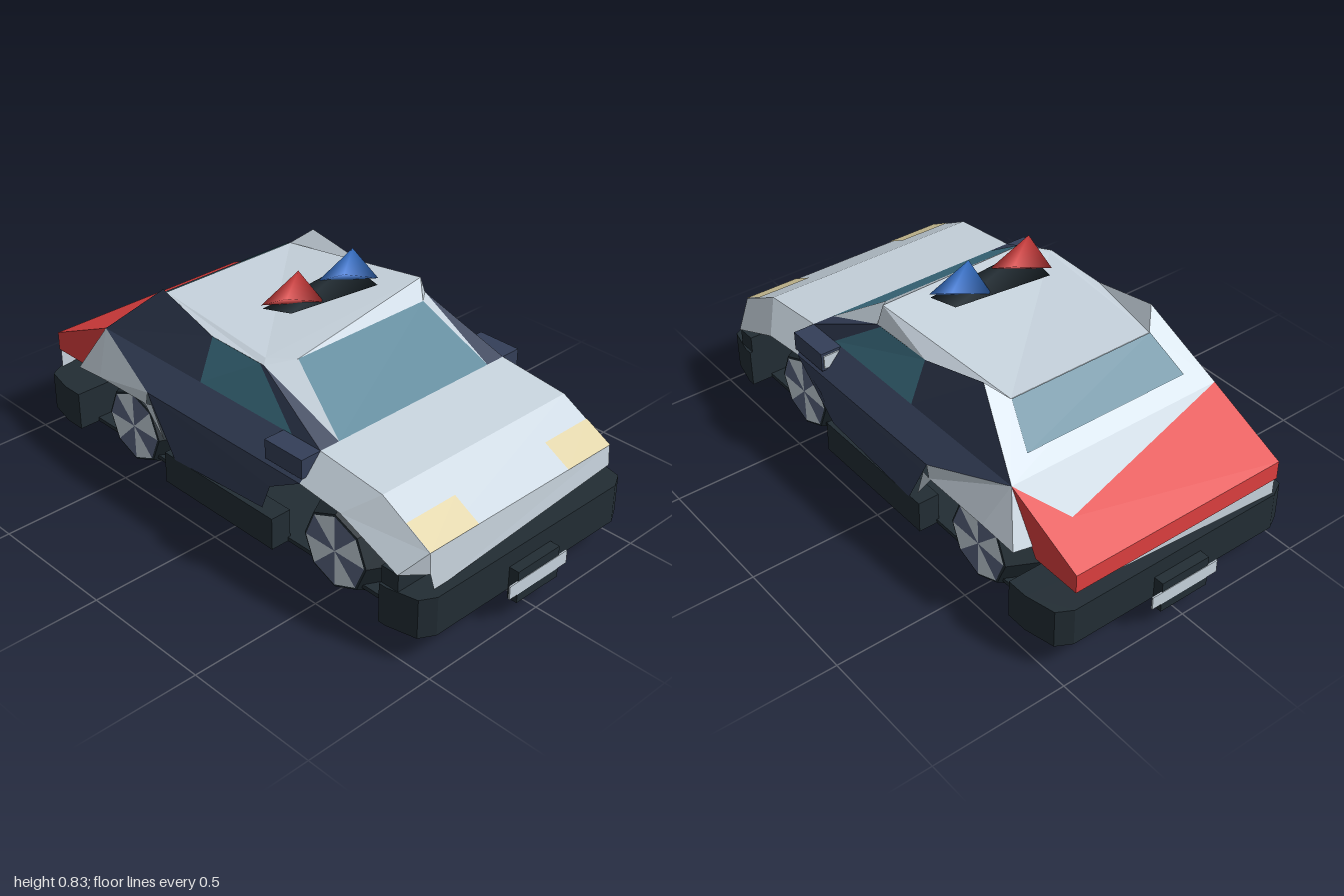
import * as THREE from 'three';

const mat = (name, color, side = THREE.FrontSide) => {
  const m = new THREE.MeshStandardMaterial({ color, side });
  m.name = name;
  return m;
};

export function createModel() {
  const D = THREE.DoubleSide;
  const light = mat('pale grey paint', 0xc8d4de, D);
  const navy = mat('navy paint', 0x343f58, D);
  const dark = mat('charcoal', 0x222d34, D);
  const teal = mat('teal glass', 0x42798e, D);
  const red = mat('red', 0xe04040, D);
  const blue = mat('blue', 0x3b7ddd);
  const tan = mat('lamp tan', 0xdccfa2, D);
  const slate = mat('slate', 0x5a6580);

  const car = new THREE.Group();
  car.name = 'patrolCar';

  const add = (name, geo, material, parent = car) => {
    const g = geo.index ? geo.toNonIndexed() : geo;
    g.computeVertexNormals();
    const mesh = new THREE.Mesh(g, material);
    mesh.name = name;
    parent.add(mesh);
    return mesh;
  };

  // Flat panels, each polygon fanned from its first corner
  const panel = (name, material, ...polys) => {
    const v = [];
    for (const p of polys)
      for (let i = 1; i < p.length - 1; i++) v.push(...p[0], ...p[i], ...p[i + 1]);
    const g = new THREE.BufferGeometry();
    g.setAttribute('position', new THREE.Float32BufferAttribute(v, 3));
    return add(name, g, material);
  };
  const flip = (p) => p.map(([x, y, z]) => [-x, y, z]).reverse();
  // Panels given for the left side and mirrored to the right
  const pair = (name, material, ...polys) => {
    panel(name + 'Left', material, ...polys);
    panel(name + 'Right', material, ...polys.map(flip));
  };
  // Strip across the car between two [halfWidth, y, z] lines
  const across = (a, b) => [[-a[0], a[1], a[2]], a, b, [-b[0], b[1], b[2]]];
  const box = (name, material, w, h, d, x, y, z) =>
    add(name, new THREE.BoxGeometry(w, h, d), material).position.set(x, y, z);

  // Hood and nose
  panel('hood', light,
    across([0.43, 0.5, 0.72], [0.43, 0.53, 0.45]),
    across([0.43, 0.39, 0.92], [0.43, 0.5, 0.72]));
  panel('nosePanel', light, [[-0.41, 0.245, 0.925], [0.43, 0.315, 0.925], [0.43, 0.39, 0.92], [-0.43, 0.39, 0.92], [-0.43, 0.315, 0.925]]);
  pair('headlight', tan, [[0.215, 0.392, 0.922], [0.43, 0.392, 0.922], [0.43, 0.448, 0.82], [0.215, 0.448, 0.82]]);
  pair('frontFender', light,
    [[0.43, 0.53, 0.45], [0.43, 0.5, 0.72], [0.51, 0.42, 0.62], [0.51, 0.44, 0.44]],
    [[0.43, 0.5, 0.72], [0.43, 0.39, 0.92], [0.505, 0.315, 0.86], [0.51, 0.42, 0.62]],
    [[0.43, 0.39, 0.92], [0.43, 0.315, 0.925], [0.505, 0.315, 0.86]]);

  // Cabin: the roof rises to one front corner and falls to the rear window
  panel('windshield', teal, across([0.35, 0.53, 0.45], [0.29, 0.7, 0.2]));
  pair('frontPillar', light, [[0.35, 0.53, 0.45], [0.375, 0.68, 0.13], [0.29, 0.7, 0.2]]);
  const peak = [0.35, 0.745, 0.13], low = [-0.35, 0.69, 0.11];
  panel('roof', light,
    [[-0.29, 0.7, 0.2], [0.29, 0.7, 0.2], peak, low],
    [low, peak, [0.29, 0.69, -0.47], [-0.29, 0.69, -0.47]]);
  panel('roofEdgeLeft', light,
    [[0.29, 0.7, 0.2], [0.375, 0.68, 0.13], peak],
    [peak, [0.375, 0.68, 0.13], [0.37, 0.68, -0.13], [0.29, 0.69, -0.47]]);
  panel('roofEdgeRight', light,
    [low, [-0.375, 0.68, 0.13], [-0.29, 0.7, 0.2]],
    [[-0.29, 0.69, -0.47], [-0.37, 0.68, -0.13], [-0.375, 0.68, 0.13], low]);
  pair('rearPillarFin', light,
    [[0.29, 0.69, -0.47], [0.37, 0.68, -0.13], [0.35, 0.745, -0.41]],
    [[0.29, 0.69, -0.47], [0.35, 0.745, -0.41], [0.43, 0.53, -0.65]]);
  pair('sideWindow', teal, [[0.43, 0.53, 0.32], [0.43, 0.53, -0.13], [0.37, 0.68, -0.13], [0.375, 0.68, 0.11]]);
  pair('sidePillar', navy,
    [[0.35, 0.53, 0.45], [0.43, 0.53, 0.45], [0.375, 0.68, 0.13]],
    [[0.43, 0.53, 0.45], [0.43, 0.53, 0.32], [0.375, 0.68, 0.11], [0.375, 0.68, 0.13]],
    [[0.43, 0.53, -0.13], [0.43, 0.53, -0.65], [0.35, 0.745, -0.41], [0.37, 0.68, -0.13]]);
  panel('rearSlope', light, across([0.29, 0.69, -0.47], [0.43, 0.53, -0.65]));
  panel('rearWindow', teal, across([0.29, 0.692, -0.474], [0.33, 0.578, -0.602]));

  // Doors, rear fenders and mirrors
  pair('door', navy,
    [[0.43, 0.53, 0.45], [0.51, 0.44, 0.44], [0.51, 0.44, -0.32], [0.43, 0.53, -0.65]],
    [[0.51, 0.44, 0.44], [0.51, 0.36, 0.3], [0.5, 0.25, 0.25], [0.5, 0.22, -0.2], [0.51, 0.4, -0.3], [0.51, 0.44, -0.32]]);
  pair('rearFender', light,
    [[0.43, 0.53, -0.65], [0.51, 0.44, -0.32], [0.51, 0.39, -0.33], [0.505, 0.38, -0.6]],
    [[0.43, 0.53, -0.65], [0.505, 0.38, -0.6], [0.495, 0.36, -0.74]],
    [[0.43, 0.53, -0.65], [0.495, 0.36, -0.74], [0.43, 0.36, -0.755]],
    [[0.51, 0.4, -0.3], [0.5, 0.27, -0.25], [0.51, 0.39, -0.34]]);
  for (const s of [-1, 1]) {
    box('mirror', navy, 0.08, 0.07, 0.17, s * 0.47, 0.495, 0.365);
    box('mirrorGlass', light, 0.06, 0.05, 0.006, s * 0.472, 0.495, 0.278);
  }

  // Tail with a slanted paint edge
  panel('trunkPaleCorner', light, [[0.43, 0.53, -0.65], [0.32, 0.458, -0.81], [-0.43, 0.53, -0.65]]);
  panel('trunk', red,
    [[0.32, 0.458, -0.81], [0.43, 0.53, -0.65], [0.43, 0.39, -0.96], [-0.43, 0.39, -0.96], [-0.43, 0.53, -0.65]],
    across([0.43, 0.39, -0.96], [0.43, 0.32, -0.96]));
  pair('trunkSide', red, [[0.43, 0.53, -0.65], [0.43, 0.39, -0.96], [0.43, 0.32, -0.96], [0.43, 0.32, -0.77]]);
  panel('tailLowerPanel', light, [[0.43, 0.32, -0.95], [-0.43, 0.32, -0.95], [-0.43, 0.25, -0.95]]);

  // Chassis, skirts, bumpers and plates
  box('floor', dark, 0.86, 0.015, 1.7, 0, 0.1125, 0);
  for (const s of [-1, 1]) box('sideSkirt', dark, 0.08, 0.12, 0.55, s * 0.46, 0.165, 0.02);
  const bumper = (name, s, zIn) => {
    const half = [[0.51, zIn], [0.51, 0.82], [0.485, 0.93], [0.43, 0.96]];
    const outline = [...half, ...half.map(([x, z]) => [-x, z]).reverse()];
    const shape = new THREE.Shape(outline.map(([x, z]) => new THREE.Vector2(x, z)));
    const g = new THREE.ExtrudeGeometry(shape, { depth: 0.145, bevelEnabled: false });
    g.rotateX(Math.PI / 2).translate(0, 0.25, 0);
    if (s < 0) g.rotateY(Math.PI);
    add(name, g, dark);
    box(name + 'Step', dark, 0.2, 0.12, 0.04, 0, 0.13, s * 0.978);
    box(name + 'Plate', light, 0.28, 0.05, 0.006, 0, 0.13, s * 0.997);
  };
  bumper('frontBumper', 1, 0.79);
  bumper('rearBumper', -1, 0.74);
  box('grilleBacking', dark, 1.0, 0.065, 0.07, 0, 0.28, 0.825);

  // Wheels: eight-sided tyres with two-tone star hubs on both faces
  for (const x of [-0.333, 0.333]) for (const z of [0.53, -0.5]) {
    const wheel = new THREE.Group();
    wheel.name = 'wheel';
    wheel.position.set(x, 0.197, z);
    const profile = [[0, -0.11], [0.14, -0.11], [0.197, 0], [0.14, 0.11], [0, 0.11]]
      .map(([r, h]) => new THREE.Vector2(r, h));
    add('tyre', new THREE.LatheGeometry(profile, 8).rotateZ(Math.PI / 2), dark, wheel);
    for (const s of [-1, 1]) {
      const g = new THREE.CircleGeometry(0.132, 8).toNonIndexed();
      for (let i = 0; i < 8; i++) g.addGroup(i * 3, 3, i % 2);
      g.rotateY(s * Math.PI / 2).translate(s * 0.112, 0, 0);
      add('hub', g, [light, slate], wheel);
    }
    car.add(wheel);
  }

  // Light bar: smooth wedges on alternate corners of a box
  const wedge = (name, material, x0, x1, y0, y1, d) => {
    const g = new THREE.BufferGeometry();
    const corners = [x0, y1, d, x1, y1, -d, x1, y0, d, x0, y0, -d];
    g.setAttribute('position', new THREE.Float32BufferAttribute(corners, 3));
    g.setIndex([0, 2, 1, 0, 3, 2, 1, 2, 3, 0, 1, 3]);
    g.computeVertexNormals();
    const mesh = new THREE.Mesh(g, material);
    mesh.name = name;
    car.add(mesh);
  };
  wedge('lightBarBase', dark, -0.2, 0.2, 0.745, 0.78, 0.07);
  wedge('redLight', red, -0.213, -0.045, 0.765, 0.835, 0.063);
  wedge('blueLight', blue, 0.045, 0.21, 0.765, 0.835, 0.063);

  return car;
}
